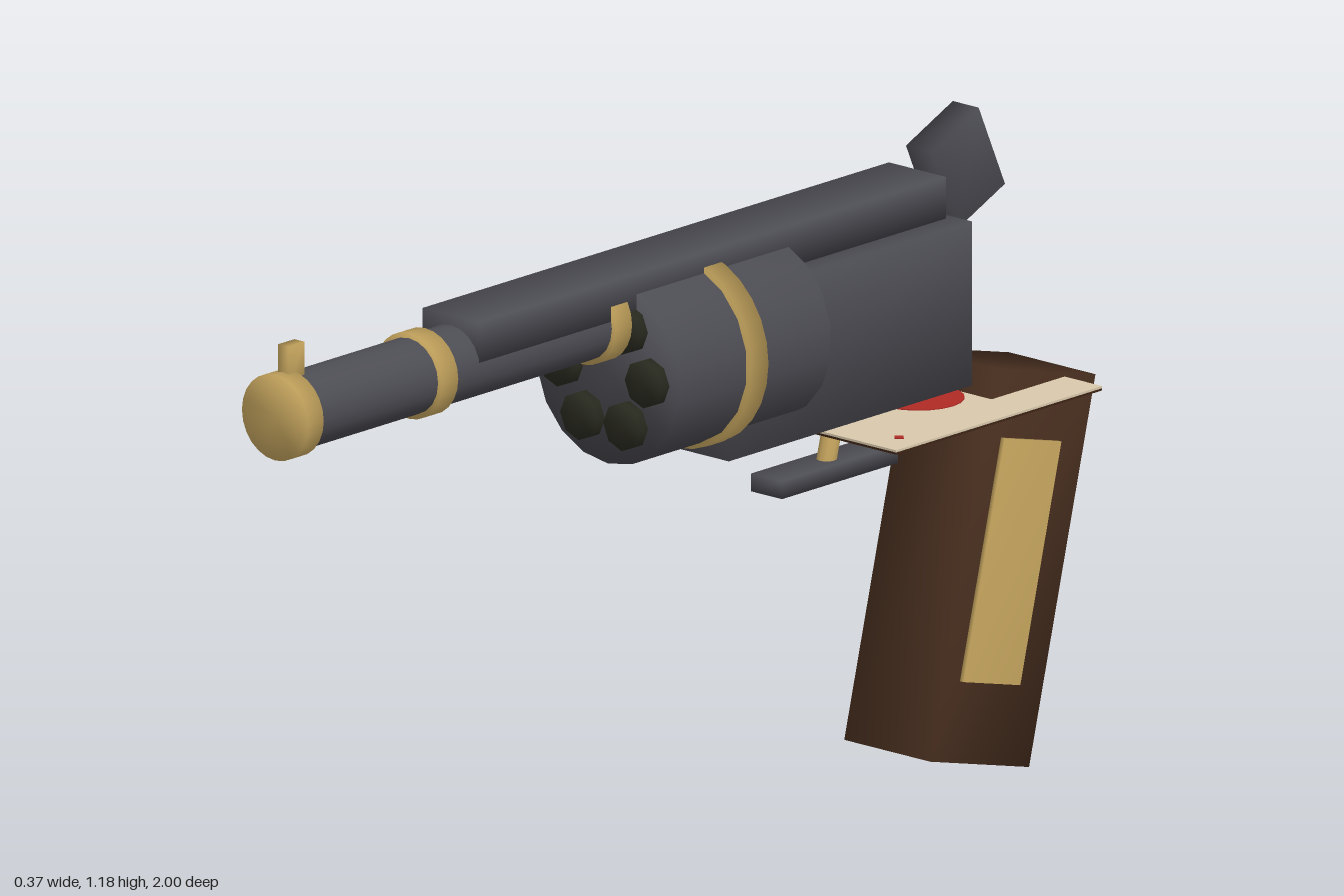
import * as THREE from 'three';
import { mergeVertices } from 'three/addons/utils/BufferGeometryUtils.js';

const mat = (name, color) => {
  const m = new THREE.MeshStandardMaterial({ color });
  m.name = name;
  return m;
};

// Share corner vertices so normals blend softly across edges
function soften(geo) {
  geo.deleteAttribute('uv');
  geo.deleteAttribute('normal');
  const g = mergeVertices(geo);
  g.computeVertexNormals();
  return g;
}

export function createModel() {
  const steel = mat('gunmetal', 0x4c4c53);
  const brass = mat('brass', 0xc9a860);
  const wood = mat('dark wood', 0x4a3020);
  const dark = mat('chamber black', 0x2a2b20);
  const paper = mat('card paper', 0xd8c8ac);
  const back = mat('card back', 0x3c2414);
  const red = mat('card red', 0xb02a24);

  const root = new THREE.Group();
  root.name = 'revolver';

  const add = (name, geo, material, x, y, z, tilt = 0, parent = root) => {
    const m = new THREE.Mesh(geo, material);
    m.name = name;
    m.position.set(x, y, z);
    m.rotation.x = tilt;
    parent.add(m);
    return m;
  };
  const box = (w, h, d) => soften(new THREE.BoxGeometry(w, h, d));
  // Cylinder lying along z
  const rod = (r, len, sides) =>
    soften(new THREE.CylinderGeometry(r, r, len, sides).rotateX(Math.PI / 2));

  // Barrel with brass bands and front sight
  const axisY = 1.01;
  add('barrel', rod(0.068, 0.86, 20), steel, 0, axisY, 0.55);
  add('muzzleCap', rod(0.077, 0.04, 24), brass, 0, axisY, 0.98);
  for (const z of [0.635, 0.188]) add('barrelBand', rod(0.077, 0.042, 24), brass, 0, axisY, z);
  add('frontSight', box(0.024, 0.07, 0.042), brass, 0, 1.1, 0.958);
  add('topRib', box(0.132, 0.075, 1.2), steel, 0, 1.058, -0.052);

  // Revolving cylinder with six chambers
  const drumY = 0.907;
  add('drum', rod(0.166, 0.392, 18), steel, 0, drumY, -0.052);
  add('drumBand', rod(0.175, 0.045, 28), brass, 0, drumY, -0.053);
  for (let i = 0; i < 6; i++) {
    const a = (i * Math.PI) / 3;
    add('chamber', rod(0.043, 0.03, 8), dark,
      0.1 * Math.cos(a), drumY + 0.1 * Math.sin(a), 0.149);
  }

  // Frame, hammer, trigger and guard
  add('frame', box(0.176, 0.295, 0.625), steel, 0, 0.863, -0.382);
  add('hammer', box(0.06, 0.166, 0.132), steel, 0, 1.083, -0.75, 0.42);
  add('trigger', soften(new THREE.CylinderGeometry(0.018, 0.018, 0.13, 10)), brass, 0, 0.67, -0.43, -0.25);
  add('triggerGuard', box(0.072, 0.032, 0.298), steel, 0, 0.611, -0.413);

  // Raked grip with a brass panel on each side
  const grip = new THREE.Group();
  grip.name = 'grip';
  grip.position.set(0, 0.37, -0.787);
  grip.rotation.x = -0.25;
  root.add(grip);
  add('gripBody', box(0.2, 0.69, 0.262), wood, 0, 0, 0, 0, grip);
  for (const s of [-1, 1]) {
    add('gripPanel', box(0.009, 0.428, 0.15), brass, s * 0.1045, 0.012, 0.014, 0, grip);
  }

  // Card under the frame: pale face with red pips, dark back with a brass roundel
  const card = new THREE.Group();
  card.name = 'card';
  card.position.set(0, 0.681, -0.655);
  root.add(card);
  add('cardFace', new THREE.BoxGeometry(0.374, 0.004, 0.53), paper, 0, 0.002, 0, 0, card);
  add('cardBack', new THREE.BoxGeometry(0.374, 0.004, 0.53), back, 0, -0.002, 0, 0, card);
  const disc = (r, sides) => new THREE.CylinderGeometry(r, r, 0.002, sides);
  add('centrePip', disc(0.08, 20), red, 0, 0.005, 0, 0, card);
  for (const s of [-1, 1]) add('cornerPip', disc(0.011, 4), red, s * 0.14, 0.005, s * 0.205, 0, card);
  add('cardRoundel', disc(0.075, 20), brass, 0, -0.005, 0, 0, card);

  return root;
}
